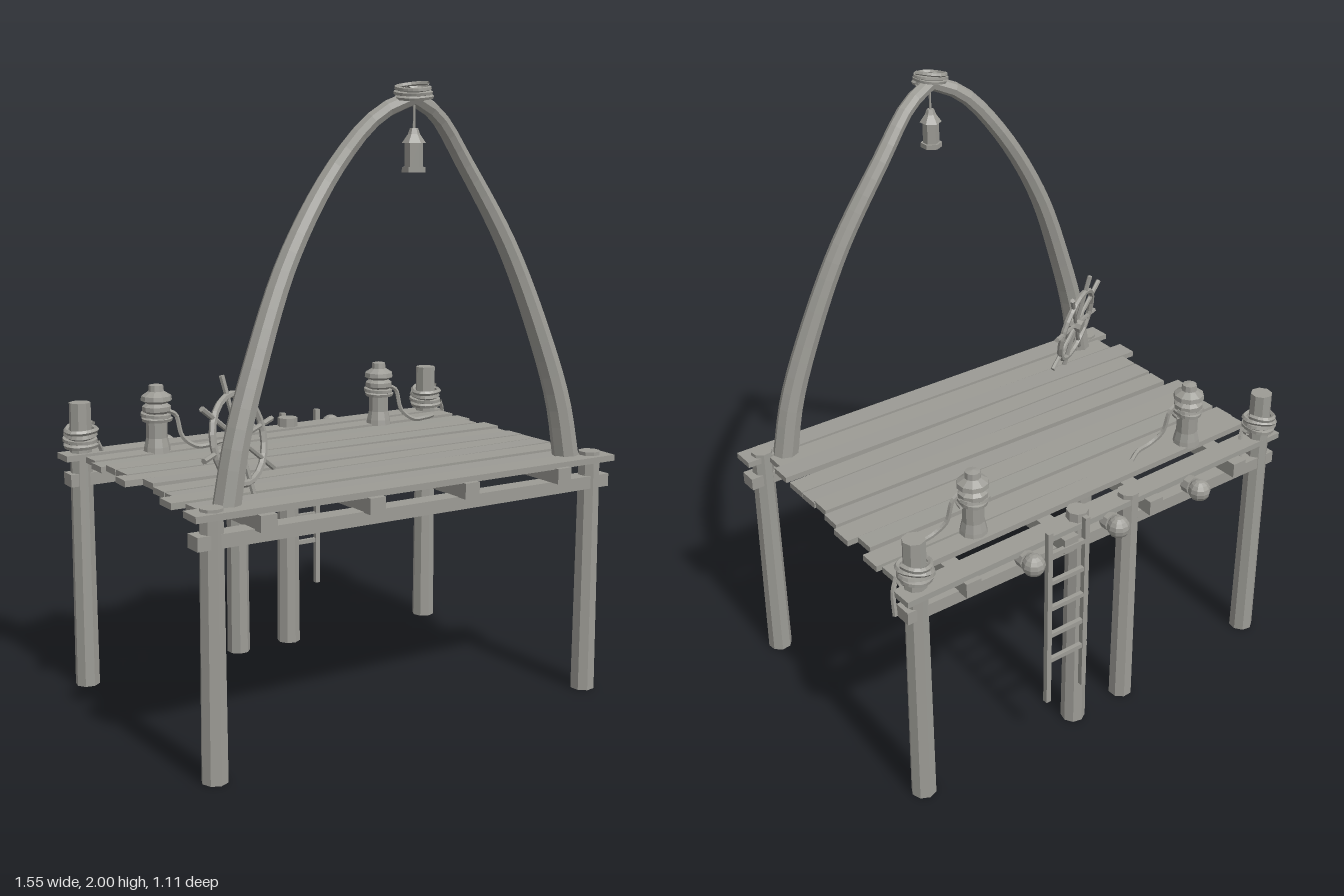
import * as THREE from 'three';

export function createModel() {
  const root = new THREE.Group();
  root.name = 'dock';
  const wood = new THREE.MeshStandardMaterial({ color: 0x9c9b95, flatShading: true, side: THREE.DoubleSide });
  wood.name = 'weathered grey';
  const V = (x, y, z) => new THREE.Vector3(x, y, z);

  const add = (name, geo, x = 0, y = 0, z = 0, parent = root) => {
    const m = new THREE.Mesh(geo, wood);
    m.name = name;
    m.position.set(x, y, z);
    parent.add(m);
    return m;
  };
  const box = (name, w, h, d, x, y, z, parent) => add(name, new THREE.BoxGeometry(w, h, d), x, y, z, parent);
  const rope = (name, pts, r, seg = 20, parent = root) =>
    add(name, new THREE.TubeGeometry(new THREE.CatmullRomCurve3(pts), seg, r, 5), 0, 0, 0, parent);
  const helix = (x, y, z, r, rise, turns, wobble) => {
    const pts = [];
    for (let i = 0; i <= turns * 10; i++) {
      const a = i * Math.PI / 5;
      const rr = r + 0.004 * Math.sin(i * 1.7);
      pts.push(V(x + rr * Math.cos(a), y + rise * i / (turns * 10) + wobble * Math.cos(a + 0.6), z + rr * Math.sin(a)));
    }
    return pts;
  };

  // Posts: corners at the back stand taller
  [[-0.70, 0.49, 0.815], [0.70, 0.49, 0.815], [-0.70, -0.43, 0.97], [0.70, -0.43, 0.97],
    [-0.11, -0.44, 0.82], [0.10, -0.44, 0.835]].forEach(([x, z, h], i) => {
    const post = add('post', new THREE.CylinderGeometry(0.036, 0.041, h, 8), x, h / 2, z);
    post.rotation.y = i * 0.5;
  });

  // Beams across and joists from front to back
  box('frontBeam', 1.52, 0.042, 0.06, 0, 0.718, 0.49).rotation.z = -0.004;
  box('backBeam', 1.50, 0.042, 0.06, 0, 0.718, -0.43).rotation.z = 0.004;
  [-0.55, -0.18, 0.17, 0.54].forEach(x => box('joist', 0.054, 0.05, 1.055, x, 0.762, 0.028));

  // Deck planks: z, left end, right end, width, skew
  [[-0.435, -0.77, 0.765, 0.078, 0.016], [-0.32, -0.72, 0.73, 0.07, 0.018], [-0.24, -0.73, 0.74, 0.075, 0.004],
    [-0.158, -0.715, 0.705, 0.07, -0.002], [-0.078, -0.715, 0.74, 0.08, 0], [0.003, -0.75, 0.72, 0.072, -0.02],
    [0.088, -0.70, 0.71, 0.072, -0.012], [0.167, -0.71, 0.715, 0.074, 0.01], [0.247, -0.71, 0.715, 0.074, 0.012],
    [0.33, -0.76, 0.715, 0.076, -0.012], [0.412, -0.72, 0.69, 0.074, -0.008], [0.497, -0.77, 0.765, 0.08, -0.006]]
    .forEach(([z, a, b, w, skew], i) => {
      const p = box('plank', b - a, 0.02, w, (a + b) / 2, 0.794 + 0.003 * Math.sin(i * 2.3), z);
      p.rotation.set(0.02 * Math.sin(i * 3.1), skew, 0.002 * Math.sin(i));
    });

  // Rope coils on the back corner posts
  [-0.70, 0.70].forEach(x => {
    rope('ropeCoil', helix(x, 0.825, -0.43, 0.049, 0.065, 4, 0.006), 0.009, 80);
    rope('ropeTail', [V(x + 0.045, 0.84, -0.40), V(x + 0.065, 0.80, -0.41), V(x + 0.068, 0.72, -0.42)], 0.008, 8);
  });

  // Mooring bollards with loose rope
  const profile = [[0, 0], [0.046, 0], [0.043, 0.02], [0.036, 0.05], [0.036, 0.13], [0.048, 0.14], [0.048, 0.155],
    [0.034, 0.165], [0.052, 0.175], [0.05, 0.19], [0.026, 0.205], [0.024, 0.225], [0, 0.23]]
    .map(p => new THREE.Vector2(...p));
  [-0.48, 0.405].forEach(x => {
    add('bollard', new THREE.LatheGeometry(profile, 10), x, 0.8, -0.31);
    rope('bollardRope', helix(x, 0.91, -0.31, 0.042, 0.025, 2, 0.003), 0.009, 40);
    rope('looseRope', [V(x + 0.03, 0.94, -0.28), V(x + 0.055, 0.925, -0.28), V(x + 0.075, 0.85, -0.272),
      V(x + 0.12, 0.815, -0.262), V(x + 0.18, 0.812, -0.27), V(x + 0.235, 0.81, -0.30)], 0.008, 24);
  });

  // Buoys along the back edge
  [-0.345, 0, 0.335].forEach(x => {
    add('buoy', new THREE.SphereGeometry(0.037, 10, 8), x, 0.77, -0.522);
    add('buoyMount', new THREE.CylinderGeometry(0.03, 0.03, 0.03, 8), x, 0.77, -0.478).rotation.x = Math.PI / 2;
  });

  // Ladder at the back
  const ladder = new THREE.Group();
  ladder.name = 'ladder';
  root.add(ladder);
  [0.112, 0.257].forEach(x => box('ladderRail', 0.018, 0.66, 0.018, x, 0.51, -0.497, ladder));
  [0.345, 0.445, 0.55, 0.65, 0.755].forEach(y => box('ladderRung', 0.165, 0.015, 0.015, 0.183, y, -0.497, ladder));

  // Ship's wheel leaning against the arch
  const wheel = new THREE.Group();
  wheel.name = 'helmWheel';
  wheel.position.set(-0.53, 0.965, 0.345);
  wheel.rotation.set(-0.2, 0.5, 0, 'YXZ');
  root.add(wheel);
  add('wheelRim', new THREE.TorusGeometry(0.133, 0.011, 6, 24), 0, 0, 0, wheel);
  add('wheelHub', new THREE.CylinderGeometry(0.024, 0.024, 0.05, 8), 0, 0, 0, wheel).rotation.x = Math.PI / 2;
  for (let i = 0; i < 8; i++) {
    const a = i * Math.PI / 4 + 0.15;
    const s = add('wheelSpoke', new THREE.CylinderGeometry(0.009, 0.007, 0.195, 6),
      -Math.sin(a) * 0.0975, Math.cos(a) * 0.0975, 0, wheel);
    s.rotation.z = a;
  }

  // Arch: two tapered curved ribs meeting at the top
  const tapered = (pts, r0, r1) => {
    const seg = 24, sides = 8;
    const curve = new THREE.CatmullRomCurve3(pts);
    const geo = new THREE.TubeGeometry(curve, seg, 1, sides);
    const pos = geo.attributes.position;
    const v = new THREE.Vector3();
    for (let i = 0; i <= seg; i++) {
      const c = curve.getPointAt(i / seg);
      const r = r0 + (r1 - r0) * i / seg;
      for (let j = 0; j <= sides; j++) {
        const k = i * (sides + 1) + j;
        v.fromBufferAttribute(pos, k).sub(c).multiplyScalar(r).add(c);
        pos.setXYZ(k, v.x, v.y, v.z);
      }
    }
    geo.computeVertexNormals();
    return geo;
  };
  [-1, 1].forEach(s => add('archRib', tapered([V(s * 0.632, 0.79, 0.452), V(s * 0.595, 0.98, 0.449),
    V(s * 0.53, 1.18, 0.438), V(s * 0.40, 1.49, 0.415), V(s * 0.23, 1.755, 0.407), V(s * 0.10, 1.90, 0.435),
    V(s * -0.03, 1.958, 0.465)], 0.043, 0.023)));

  // Lashing at the crown of the arch
  rope('crownLashing', helix(0, 1.945, 0.462, 0.05, 0.037, 3, 0.008), 0.007, 70);

  // Hanging lantern
  const lantern = new THREE.Group();
  lantern.name = 'lantern';
  lantern.position.set(0, 1.73, 0.465);
  root.add(lantern);
  add('lanternCord', new THREE.CylinderGeometry(0.004, 0.004, 0.10, 5), 0, 0.17, 0, lantern);
  add('lanternBase', new THREE.CylinderGeometry(0.035, 0.035, 0.016, 6), 0, 0.008, 0, lantern);
  add('lanternBody', new THREE.CylinderGeometry(0.027, 0.027, 0.075, 6), 0, 0.05, 0, lantern);
  add('lanternRoof', new THREE.CylinderGeometry(0.015, 0.036, 0.03, 6), 0, 0.1, 0, lantern);
  add('lanternCap', new THREE.CylinderGeometry(0.012, 0.018, 0.016, 6), 0, 0.12, 0, lantern);

  return root;
}
